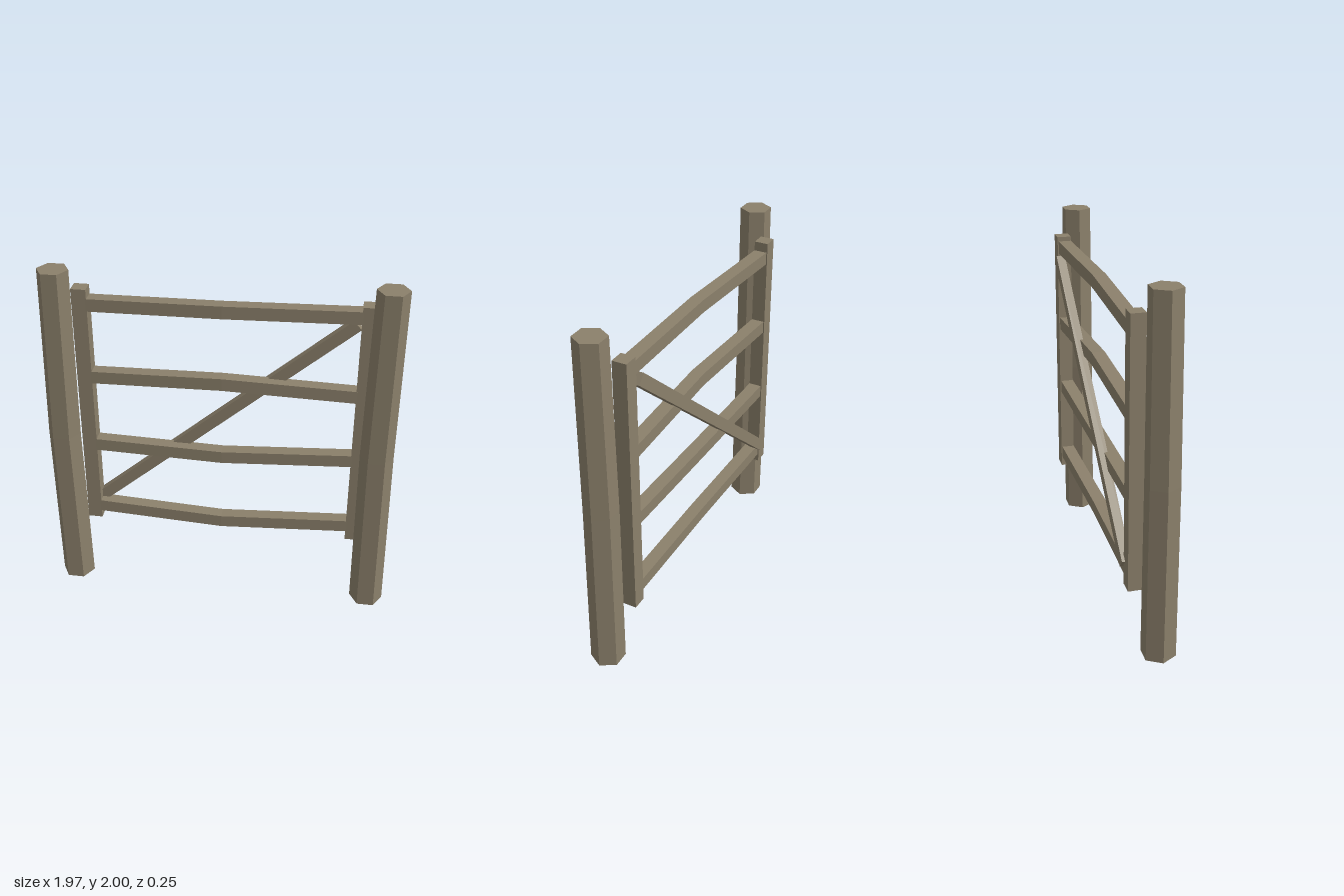
import * as THREE from 'three';

const wood = new THREE.MeshStandardMaterial({ color: 0x8b806b });
wood.name = 'weatheredWood';

// Move vertices by a rule, then facet the surface
function reshape(geometry, rule) {
  const p = geometry.attributes.position;
  const v = new THREE.Vector3();
  for (let i = 0; i < p.count; i++) {
    v.fromBufferAttribute(p, i);
    rule(v);
    p.setXYZ(i, v.x, v.y, v.z);
  }
  const faceted = geometry.toNonIndexed();
  faceted.computeVertexNormals();
  return faceted;
}

function part(name, geometry, parent) {
  const mesh = new THREE.Mesh(geometry, wood);
  mesh.name = name;
  parent.add(mesh);
  return mesh;
}

// Six-sided post, slightly bent; rings are [x, radius] at bottom, middle, top
function postGeometry(rings) {
  const g = new THREE.CylinderGeometry(1, 1, 2, 6, 2, false, Math.PI / 2);
  return reshape(g, v => {
    const [x, r] = rings[Math.round(v.y) + 1];
    v.set(x + v.x * r, v.y + 1, 0.039 + v.z * r);
  });
}

// Rail with a kink in the middle; ys are heights at the -x end, middle, +x end
function railGeometry(ys, midZ) {
  const half = 0.74;
  const g = new THREE.BoxGeometry(half * 2, 0.073, 0.074, 2, 1, 1);
  return reshape(g, v => {
    const k = Math.round(v.x / half) + 1;
    v.x += 0.005;
    v.y += ys[k];
    v.z += k === 1 ? midZ : -0.067;
  });
}

export function createModel() {
  const model = new THREE.Group();
  model.name = 'fieldGate';

  // Gate posts
  part('rightPost', postGeometry([[-0.88, 0.096], [-0.892, 0.093], [-0.878, 0.087]]), model);
  part('leftPost', postGeometry([[0.89, 0.096], [0.878, 0.093], [0.885, 0.087]]), model);

  const gate = new THREE.Group();
  gate.name = 'gate';
  model.add(gate);

  // Upright stiles
  for (const side of [-1, 1]) {
    const stile = part(side < 0 ? 'rightStile' : 'leftStile',
      new THREE.BoxGeometry(0.083, 1.5, 0.08), gate);
    stile.position.set(0.005 + side * 0.776, 1.11, -0.07);
  }

  // Crooked horizontal rails
  [
    [[1.77, 1.788, 1.798], -0.046],
    [[1.328, 1.35, 1.324], -0.053],
    [[0.883, 0.873, 0.909], -0.053],
    [[0.445, 0.423, 0.453], -0.046],
  ].forEach(([ys, midZ], i) => part('rail' + (i + 1), railGeometry(ys, midZ), gate));

  // Diagonal brace across the back
  const a = new THREE.Vector2(-0.735, 0.482), b = new THREE.Vector2(0.72, 1.733);
  const brace = part('brace', new THREE.BoxGeometry(a.distanceTo(b), 0.066, 0.05), gate);
  brace.position.set((a.x + b.x) / 2, (a.y + b.y) / 2, -0.102);
  brace.rotation.z = Math.atan2(b.y - a.y, b.x - a.x);

  return model;
}
